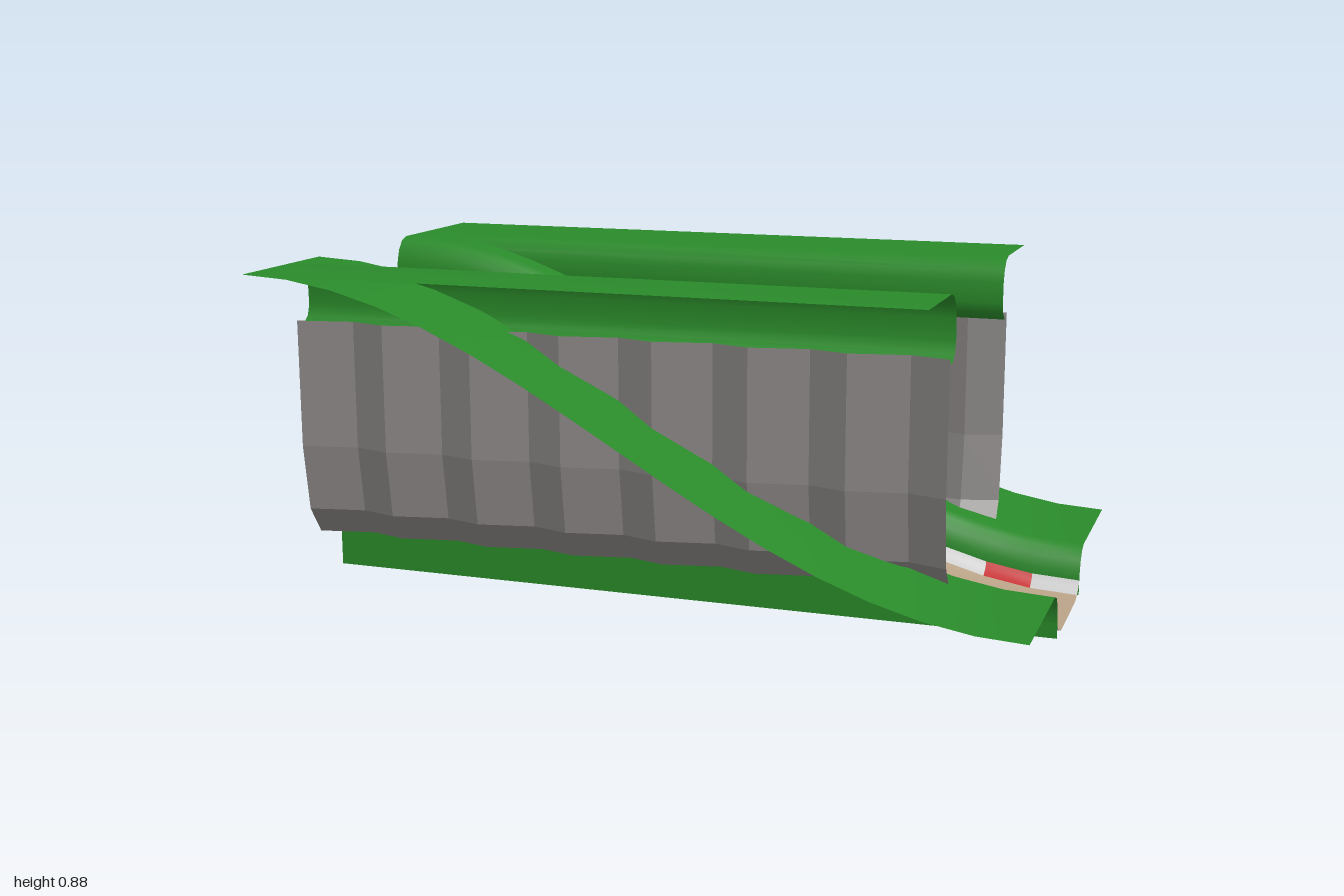
import * as THREE from 'three';

const GREEN = 0x2a8a2a, ROAD = 0xb8a287, ROCK = 0x8a8785, RED = 0xc42024, WHITE = 0xcccccc;

// evenly spaced x stations
const stations = (from, to, n) => Array.from({ length: n + 1 }, (_, i) => from + (to - from) * i / n);

// height of the road surface: an S-curve from the high end to the low end
const roadY = x => 0.375 * (1 + Math.cos(Math.PI * (x + 1) / 2));

// skin a sheet over [z, y] cross-sections placed along x
function sheet(name, color, xs, section, flatShading = false) {
  const pos = [], index = [];
  let n = 0;
  xs.forEach(x => {
    const pts = section(x);
    n = pts.length;
    pts.forEach(([z, y]) => pos.push(x, y, z));
  });
  for (let i = 0; i < xs.length - 1; i++) {
    for (let j = 0; j < n - 1; j++) {
      const a = i * n + j, b = a + n;
      index.push(a, b, a + 1, b, b + 1, a + 1);
    }
  }
  const geo = new THREE.BufferGeometry();
  geo.setAttribute('position', new THREE.Float32BufferAttribute(pos, 3));
  geo.setIndex(index);
  geo.computeVertexNormals();
  const mesh = new THREE.Mesh(geo, new THREE.MeshStandardMaterial({ color, flatShading, side: THREE.DoubleSide }));
  mesh.name = name;
  return mesh;
}

// cross-section for one side; the -z side is the mirrored, reversed list
const sided = (side, pts) => side > 0 ? pts : pts.map(([z, y]) => [-z, y]).reverse();

export function createModel() {
  const model = new THREE.Group();
  model.name = 'slopedRoadThroughCanyon';
  const full = stations(-1, 1, 16);

  // road bed with slightly raised edges
  const bed = [[0.155, 0.01], [0.125, 0], [-0.125, 0], [-0.155, 0.01]];
  model.add(sheet('road', ROAD, full, x => bed.map(([z, y]) => [z, y + roadY(x)])));

  // profiles from outside towards the road
  const bank = [[0.625, 0.125], [0.25, 0.125], [0.222, 0.115], [0.203, 0.092], [0.192, 0.06], [0.19, 0.04]];
  const curb = [[0.19, 0.04], [0.18, 0.024], [0.155, 0.01]];
  const lip = [[0.625, 0.875], [0.375, 0.875], [0.345, 0.866], [0.322, 0.842],
    [0.312, 0.81], [0.31, 0.755], [0.32, 0.725], [0.345, 0.705]];
  const rock = [[0.36, 0.72], [0.36, 0.38], [0.335, 0.2], [0.285, 0.125]];

  // zigzag stations of the rock wall: alternating ridge and groove
  const ridges = [];
  for (let i = 0; i < 7; i++) ridges.push(-1 + i * 0.25, -0.85 + i * 0.25);
  ridges.push(0.75);

  for (const side of [1, -1]) {
    const half = new THREE.Group();
    half.name = side > 0 ? 'frontSide' : 'backSide';
    const lifted = pts => x => sided(side, pts.map(([z, y]) => [z, y + roadY(x)]));

    // grass bank following the slope
    half.add(sheet('grassBank', GREEN, full, lifted(bank)));

    // skirt dropping from the road edge to the ground
    half.add(sheet('skirt', GREEN, full, x => sided(side, [[0.19, roadY(x) + 0.04], [0.19, 0]])));

    // striped curb
    const curbs = new THREE.Group();
    curbs.name = 'curb';
    for (let i = 0; i < 16; i++) {
      curbs.add(sheet('curbStripe', i % 2 ? WHITE : RED, [full[i], full[i + 1]], lifted(curb)));
    }
    half.add(curbs);

    // level grass plateau with a rounded overhang
    half.add(sheet('plateau', GREEN, [-1, 0.75], () => sided(side, lip)));

    // corrugated rock wall below the overhang
    half.add(sheet('rockWall', ROCK, ridges, x => {
      const offset = ridges.indexOf(x) % 2 ? -0.015 : 0.015;
      return sided(side, rock.map(([z, y]) => [z + offset, y]));
    }, true));

    model.add(half);
  }
  return model;
}
